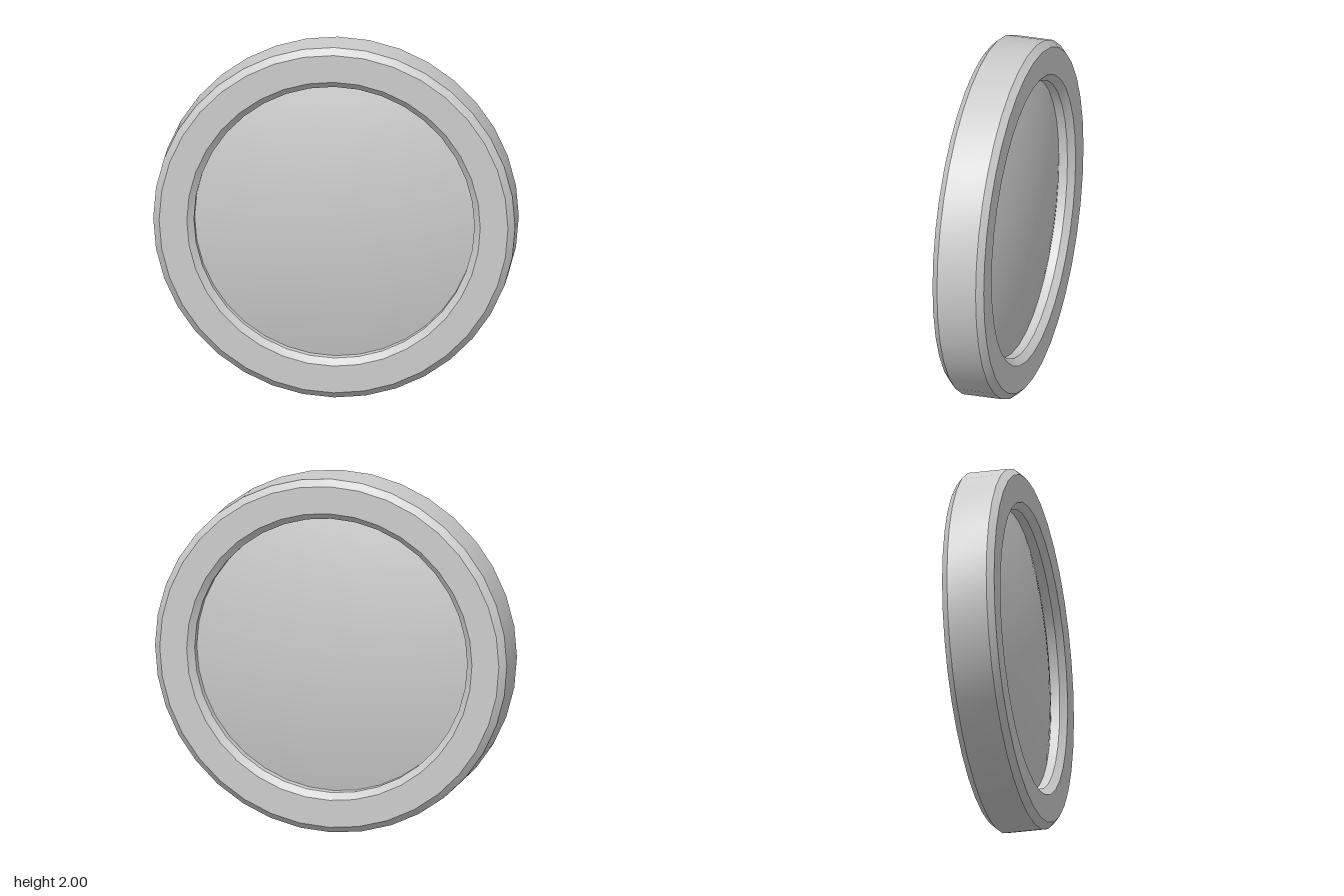
import * as THREE from 'three';
import { toCreasedNormals } from 'three/addons/utils/BufferGeometryUtils.js';

const SIDES = 36;
const OUTER = 1, INNER = 0.775;   // ring radii
const HALF = 0.147, BEVEL = 0.036; // half depth and chamfer of the ring
const LENS_EDGE = 0.062, LENS_APEX = 0.148; // lens surface depth at rim and centre

export function createModel() {
  const group = new THREE.Group();
  const material = new THREE.MeshStandardMaterial({ color: 0xcccccc });

  // Turn a (radius, depth) profile about the z axis, with the disc upright
  const turn = (profile) =>
    new THREE.LatheGeometry(profile.map(([r, d]) => new THREE.Vector2(r, d)), SIDES).rotateX(Math.PI / 2);

  const add = (name, geometry) => {
    const mesh = new THREE.Mesh(geometry, material);
    mesh.name = name;
    mesh.position.y = OUTER;
    group.add(mesh);
    return mesh;
  };

  // Ring: rectangular section with all four corners chamfered
  const z = HALF - BEVEL;
  add('ring', toCreasedNormals(turn([
    [OUTER, -z], [OUTER, z],
    [OUTER - BEVEL, HALF], [INNER + BEVEL, HALF],
    [INNER, z], [INNER, -z],
    [INNER + BEVEL, -HALF], [OUTER - BEVEL, -HALF],
    [OUTER, -z],
  ]), Math.PI / 6));

  // Lens: shallow spherical cap, one on each face
  const sag = LENS_APEX - LENS_EDGE;
  const radius = (INNER ** 2 + sag ** 2) / (2 * sag);
  const rimAngle = Math.asin(INNER / radius);
  const steps = 12;
  const cap = [];
  for (let i = steps; i >= 0; i--) {
    const a = (rimAngle * i) / steps;
    cap.push([radius * Math.sin(a), LENS_APEX - radius * (1 - Math.cos(a))]);
  }
  add('lensFront', turn(cap));
  add('lensBack', turn(cap)).rotation.y = Math.PI;

  return group;
}
